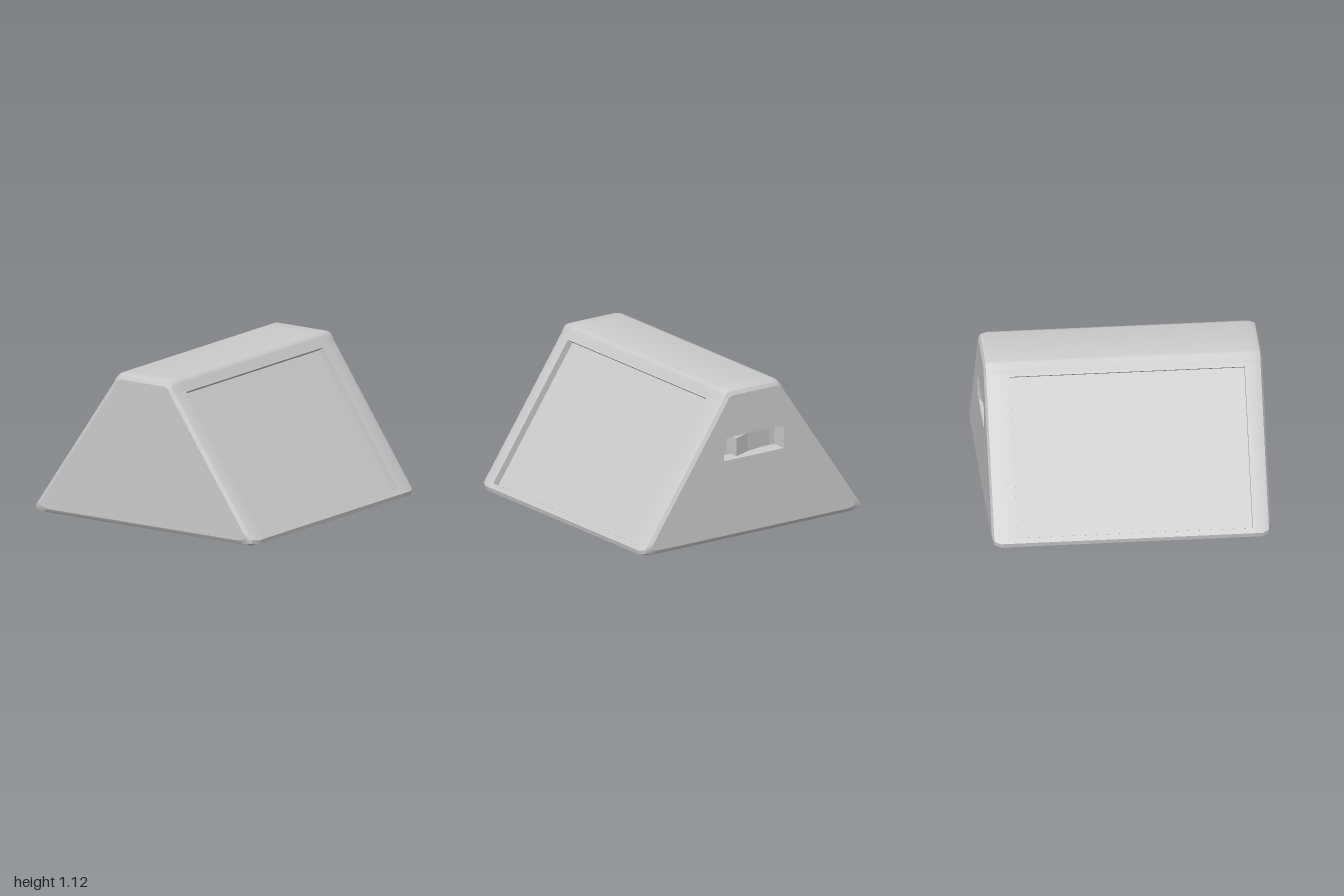
import * as THREE from 'three';
import { toCreasedNormals } from 'three/addons/utils/BufferGeometryUtils.js';

const H = 1.12, W0 = 1.0, M = 0.69;          // height, base half width, lean of the slopes
const N = new THREE.Vector2(1, M).normalize(); // slope normal
const DEPTH = 0.05, LOW = 0.075, HIGH = 1.03, Z0 = -0.82, Z1 = 0.87; // recess
const SLOT = { w: 0.53, h: 0.17, y: 0.685, d: 0.12 };
const halfWidth = (y) => W0 - M * y;

// Trapezoid outline with rounded corners, counter-clockwise; optional notches in the slopes
function outline(inset, depth, withNotch = true) {
  const a = [halfWidth(LOW), LOW], b = [halfWidth(HIGH), HIGH];
  const sink = ([x, y]) => [x - N.x * depth, y - N.y * depth];
  const notch = withNotch ? [a, sink(a), sink(b), b] : [a, b];
  const half = [[0.9, 0], [0.965, 0.015], [0.97, 0.045], ...notch,
    [0.268, 1.06], [0.252, 1.092], [0.235, 1.112], [0.205, H]];
  const right = half.map(([x, y]) => {
    const y2 = inset + y * (1 - 2 * inset / H);
    return [x * (halfWidth(y2) - inset / N.x) / halfWidth(y), y2];
  });
  return [...right, ...right.map(([x, y]) => [-x, y]).reverse()];
}

// Skin lofted through cross-sections along z
function shellGeometry() {
  const stations = [[-1, 0.04, 0], [-0.985, 0.012, 0], [-0.94, 0, 0], [Z0, 0, 0], [Z0, 0, DEPTH],
    [Z1, 0, DEPTH], [Z1, 0, 0], [0.94, 0, 0], [0.985, 0.012, 0], [1, 0.04, 0]];
  const rings = stations.map(([z, inset, depth]) =>
    outline(inset, depth).map(([x, y]) => new THREE.Vector3(x, y, z)));
  const pos = [], tri = new THREE.Triangle();
  const add = (p, q, r) => {
    if (tri.set(p, q, r).getArea() > 1e-7) for (const v of [p, q, r]) pos.push(v.x, v.y, v.z);
  };
  for (let s = 0; s < rings.length - 1; s++) {
    const A = rings[s], B = rings[s + 1], n = A.length;
    for (let i = 0; i < n; i++) {
      const j = (i + 1) % n;
      add(A[i], A[j], B[j]);
      add(A[i], B[j], B[i]);
    }
  }
  const g = new THREE.BufferGeometry();
  g.setAttribute('position', new THREE.Float32BufferAttribute(pos, 3));
  return toCreasedNormals(g, 0.75);
}

export function createModel() {
  const group = new THREE.Group();
  const mat = new THREE.MeshStandardMaterial({ color: 0xcccccc });
  const thin = new THREE.MeshStandardMaterial({ color: 0xcccccc, side: THREE.DoubleSide });
  const add = (name, geo, parent = group, m = mat) => {
    const mesh = new THREE.Mesh(geo, m);
    mesh.name = name;
    parent.add(mesh);
    return mesh;
  };

  add('bodyShell', shellGeometry());

  // End faces; the back one has an opening for the switch
  const endShape = () =>
    new THREE.Shape(outline(0.04, 0, false).map(([x, y]) => new THREE.Vector2(x, y)));
  add('frontFace', new THREE.ShapeGeometry(endShape())).position.z = 1;
  const backShape = endShape();
  const hw = SLOT.w / 2, hh = SLOT.h / 2;
  backShape.holes.push(new THREE.Path([[-hw, -hh], [-hw, hh], [hw, hh], [hw, -hh]]
    .map(([x, y]) => new THREE.Vector2(x, SLOT.y + y))));
  const back = add('backFace', new THREE.ShapeGeometry(backShape));
  back.rotation.y = Math.PI;
  back.position.z = -1;

  // Flat panels set in the recesses of both slopes
  const midY = (LOW + HIGH) / 2;
  const slopeLength = (HIGH - LOW) / N.x;
  for (const side of [1, -1]) {
    const geo = new THREE.BoxGeometry(0.02, slopeLength - 0.012, Z1 - Z0 - 0.012);
    const panel = add(side > 0 ? 'leftPanel' : 'rightPanel', geo);
    const sink = DEPTH + 0.006;
    panel.position.set(side * (halfWidth(midY) - N.x * sink), midY - N.y * sink, (Z0 + Z1) / 2);
    panel.rotation.z = side * Math.atan(M);
  }

  // Switch slot: floor and four walls
  const slot = new THREE.Group();
  slot.name = 'switchSlot';
  slot.position.set(0, SLOT.y, -1);
  group.add(slot);
  add('slotFloor', new THREE.PlaneGeometry(SLOT.w, SLOT.h), slot, thin).position.z = SLOT.d;
  for (const s of [1, -1]) {
    const level = add('slotLevelWall', new THREE.PlaneGeometry(SLOT.w, SLOT.d), slot, thin);
    level.rotation.x = s * Math.PI / 2;
    level.position.set(0, s * hh, SLOT.d / 2);
    const upright = add('slotEndWall', new THREE.PlaneGeometry(SLOT.d, SLOT.h), slot, thin);
    upright.rotation.y = -s * Math.PI / 2;
    upright.position.set(s * hw, 0, SLOT.d / 2);
  }

  // Rocker switch, tipped out on one end
  const rocker = new THREE.Shape([[0.155, -SLOT.d], [0.155, 0], [0.02, -0.05], [-0.2, -0.09],
    [-0.2, -SLOT.d]].map(([x, y]) => new THREE.Vector2(x, y)));
  const rockerGeo = new THREE.ExtrudeGeometry(rocker, { depth: 0.135, bevelEnabled: false });
  rockerGeo.rotateX(-Math.PI / 2).translate(0, -0.0675, 0);
  add('rockerSwitch', rockerGeo, slot);

  return group;
}
